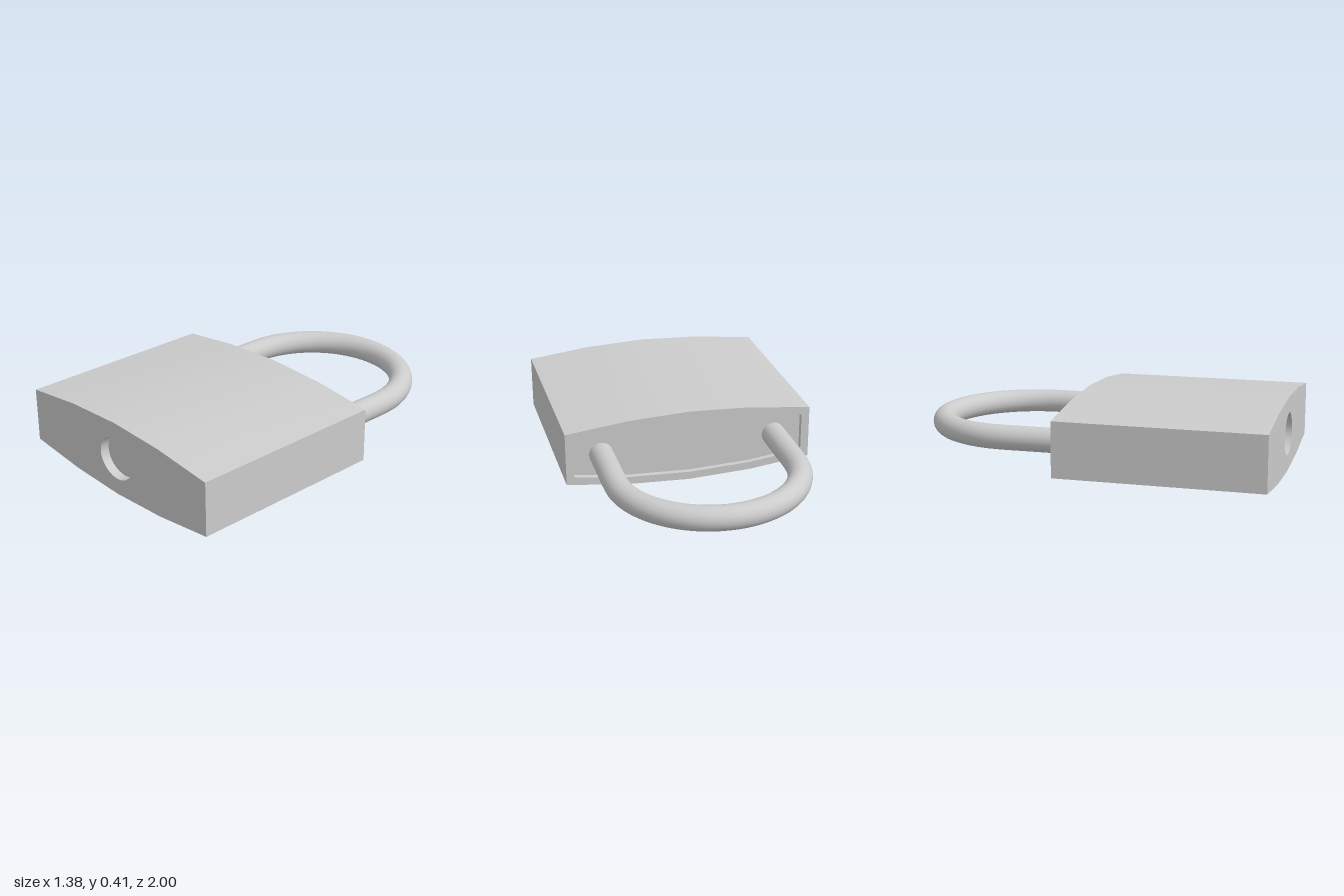
import * as THREE from 'three';
import { toCreasedNormals } from 'three/addons/utils/BufferGeometryUtils.js';

const MID = 0.205, FRONT = 1, BACK = -0.11, KEY_DEPTH = 0.05, RECESS = 0.03;
const grey = new THREE.MeshStandardMaterial({ color: 0xcccccc });

// Closed counter-clockwise outline, bulging at top and bottom, from half-heights
function bulgedOutline(halfWidth, edge, shoulder, crown) {
  const row = [[-halfWidth, edge], [-0.34, shoulder], [0, crown], [0.34, shoulder], [halfWidth, edge]];
  return [
    ...row.map(([x, h]) => new THREE.Vector2(x, MID - h)),
    ...row.map(([x, h]) => new THREE.Vector2(-x, MID + h)),
  ];
}

// Side wall swept along z; inward walls face the middle of the outline
function wall(outline, z0, z1, inward = false) {
  const pts = inward ? [...outline].reverse() : outline;
  const pos = [];
  pts.forEach((p, i) => {
    const q = pts[(i + 1) % pts.length];
    pos.push(p.x, p.y, z0, q.x, q.y, z0, q.x, q.y, z1);
    pos.push(p.x, p.y, z0, q.x, q.y, z1, p.x, p.y, z1);
  });
  const geo = new THREE.BufferGeometry();
  geo.setAttribute('position', new THREE.Float32BufferAttribute(pos, 3));
  return toCreasedNormals(geo, 0.5);
}

// Flat face at z, optionally with a hole, facing forward or back
function face(outline, z, hole = null, backward = false) {
  const shape = new THREE.Shape(outline);
  if (hole) shape.holes.push(new THREE.Path(hole));
  const geo = new THREE.ShapeGeometry(shape);
  if (backward) geo.rotateY(Math.PI);
  return geo.translate(0, 0, z);
}

export function createModel() {
  const model = new THREE.Group();
  const add = (parent, name, geometry) => {
    const mesh = new THREE.Mesh(geometry, grey);
    mesh.name = name;
    parent.add(mesh);
  };

  const outer = bulgedOutline(0.69, 0.149, 0.19, 0.205);
  const inner = bulgedOutline(0.645, 0.11, 0.147, 0.161);
  const keyCircle = new THREE.EllipseCurve(0, MID, 0.128, 0.115).getPoints(40).slice(0, -1);

  // Lock body
  const body = new THREE.Group();
  body.name = 'body';
  model.add(body);
  add(body, 'bodyShell', wall(outer, BACK, FRONT));
  add(body, 'frontFace', face(outer, FRONT, keyCircle));
  add(body, 'backRim', face(outer, BACK, inner, true));

  // Round keyway recess in the front
  add(body, 'keyRecessWall', wall(keyCircle, FRONT - KEY_DEPTH, FRONT, true));
  add(body, 'keyRecessFloor', face(keyCircle, FRONT - KEY_DEPTH));

  // Shallow panel recess around the shackle legs
  add(body, 'backRecessWall', wall(inner, BACK, BACK + RECESS, true));
  add(body, 'backRecessFloor', face(inner, BACK + RECESS, null, true));

  // Shackle: two straight legs joined by a half-round bow
  const legX = 0.49, bowZ = -0.444, endZ = BACK + RECESS + 0.01;
  const path = [new THREE.Vector3(legX, MID, endZ), new THREE.Vector3(legX, MID, -0.27)];
  for (let i = 0; i <= 16; i++) {
    const a = (i / 16) * Math.PI;
    path.push(new THREE.Vector3(legX * Math.cos(a), MID, bowZ - legX * Math.sin(a)));
  }
  path.push(new THREE.Vector3(-legX, MID, -0.27), new THREE.Vector3(-legX, MID, endZ));
  add(model, 'shackle', new THREE.TubeGeometry(new THREE.CatmullRomCurve3(path), 80, 0.066, 24));

  return model;
}
